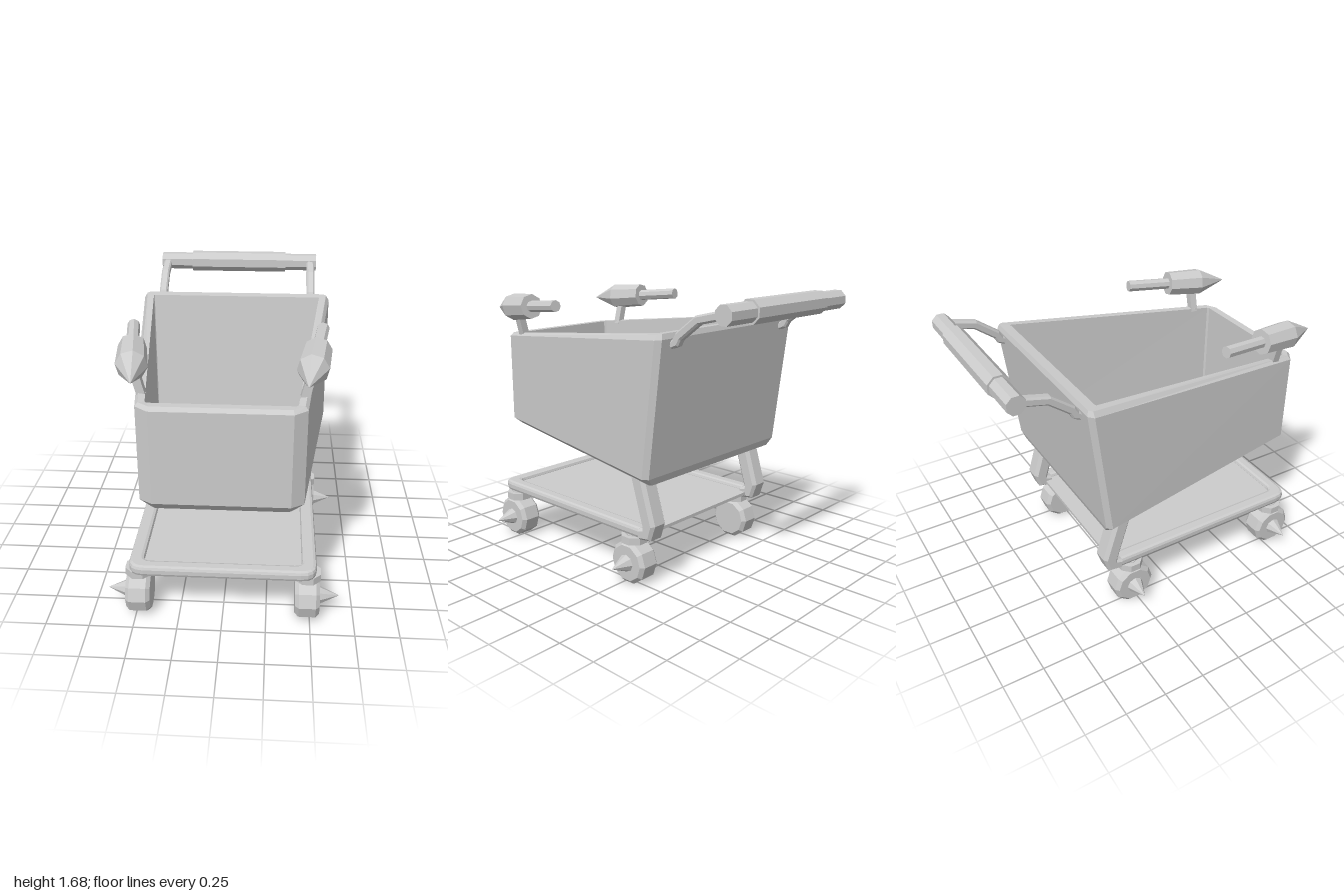
import * as THREE from 'three';

const mat = new THREE.MeshStandardMaterial({ color: 0xcccccc, flatShading: true });

function add(parent, name, geometry, x = 0, y = 0, z = 0) {
  const mesh = new THREE.Mesh(geometry, mat);
  mesh.name = name;
  mesh.position.set(x, y, z);
  parent.add(mesh);
  return mesh;
}

// Skin a list of equal-length rings (counter-clockwise seen along the loft) and cap both ends
function loft(rings) {
  const n = rings[0].length, index = [];
  rings.slice(1).forEach((_, r) => {
    for (let i = 0; i < n; i++) {
      const a = r * n + i, b = r * n + (i + 1) % n;
      index.push(a, b, b + n, a, b + n, a + n);
    }
  });
  const last = (rings.length - 1) * n;
  for (let i = 1; i < n - 1; i++) {
    index.push(0, i + 1, i, last, last + i, last + i + 1);
  }
  const g = new THREE.BufferGeometry();
  g.setAttribute('position', new THREE.Float32BufferAttribute(rings.flat(2), 3));
  g.setIndex(index);
  g.computeVertexNormals();
  return g;
}

// Bevelled bar swept along [y, z, thickness] points in a plane of constant x
function bar(x, width, path) {
  const rings = path.map(([y, z, thick], i) => {
    const p = path[Math.max(i - 1, 0)], q = path[Math.min(i + 1, path.length - 1)];
    const len = Math.hypot(q[0] - p[0], q[1] - p[1]);
    const ty = (q[0] - p[0]) / len, tz = (q[1] - p[1]) / len;
    const w = width / 2, h = thick / 2, c = Math.min(w, h) * 0.4;
    return [[w, h - c], [w - c, h], [c - w, h], [-w, h - c], [-w, c - h], [c - w, -h], [w - c, -h], [w, c - h]]
      .map(([u, v]) => [x + u, y + v * tz, z - v * ty]);
  });
  return loft(rings);
}

// Basket ring: a trapezoid in plan with cut corners, its height sloping from front to back
function basketRing(yF, yB, zF, zB, wF, wB, cx, cz, cb) {
  const y = z => yB + (yF - yB) * (z - zB) / (zF - zB);
  const w = z => wB + (wF - wB) * (z - zB) / (zF - zB);
  const right = [[wF - cx, zF], [w(zF - cz), zF - cz], [w(zB + cb), zB + cb], [wB - cb, zB]];
  const left = right.map(([x, z]) => [-x, z]).reverse();
  return [...right, ...left].map(([x, z]) => [x, y(z), z]);
}

function lathe(points, sides) {
  return new THREE.LatheGeometry(points.map(p => new THREE.Vector2(...p)), sides);
}

export function createModel() {
  const model = new THREE.Group();
  model.name = 'armedCart';

  // Open basket: outside from bottom to rim, then inside down to the floor
  add(model, 'basket', loft([
    basketRing(0.73, 0.645, 0.89, -0.47, 0.38, 0.55, 0.02, 0.02, 0.01),
    basketRing(0.78, 0.69, 0.93, -0.485, 0.435, 0.61, 0.065, 0.05, 0.03),
    basketRing(1.32, 1.465, 0.93, -0.58, 0.435, 0.61, 0.065, 0.05, 0.03),
    basketRing(1.34, 1.495, 0.91, -0.57, 0.42, 0.59, 0.055, 0.04, 0.02),
    basketRing(1.34, 1.49, 0.865, -0.51, 0.39, 0.54, 0.01, 0.01, 0.005),
    basketRing(0.81, 0.74, 0.86, -0.43, 0.385, 0.53, 0.01, 0.01, 0.005),
  ]));

  // Push handle
  const handle = new THREE.Group();
  handle.name = 'handle';
  model.add(handle);
  for (const [name, r, len] of [['handleBar', 0.056, 1.06], ['handleGrip', 0.068, 0.64]]) {
    const g = new THREE.CylinderGeometry(r, r, len, 8);
    g.rotateY(Math.PI / 8).rotateZ(Math.PI / 2);
    add(handle, name, g, 0, 1.615, -0.932);
  }

  // Lower frame: rounded U-shaped rail with a thin tray inside
  const s = new THREE.Shape();
  s.moveTo(-0.53, -0.39);
  s.lineTo(-0.445, -0.39);
  s.lineTo(-0.445, 0.8);
  s.quadraticCurveTo(-0.445, 0.84, -0.405, 0.84);
  s.lineTo(0.405, 0.84);
  s.quadraticCurveTo(0.445, 0.84, 0.445, 0.8);
  s.lineTo(0.445, -0.39);
  s.lineTo(0.53, -0.39);
  s.lineTo(0.53, 0.83);
  s.quadraticCurveTo(0.53, 0.92, 0.44, 0.92);
  s.lineTo(-0.44, 0.92);
  s.quadraticCurveTo(-0.53, 0.92, -0.53, 0.83);
  const rail = new THREE.ExtrudeGeometry(s, {
    depth: 0.025, bevelThickness: 0.02, bevelSize: 0.02, bevelOffset: -0.02, bevelSegments: 2, curveSegments: 4,
  });
  rail.rotateX(Math.PI / 2);
  add(model, 'lowerRail', rail, 0, 0.3375, 0);
  add(model, 'tray', new THREE.BoxGeometry(0.92, 0.02, 1.27), 0, 0.325, 0.235);

  for (const side of [1, -1]) {
    add(handle, 'handleArm', bar(side * 0.49, 0.052, [
      [1.43, -0.575, 0.04], [1.445, -0.605, 0.05], [1.48, -0.625, 0.05],
      [1.575, -0.75, 0.05], [1.615, -0.92, 0.05],
    ]));
    add(model, 'rearLeg', bar(side * 0.48, 0.12, [
      [0.72, -0.325, 0.1], [0.385, -0.428, 0.1], [0.335, -0.415, 0.09], [0.325, -0.36, 0.064],
    ]));

    // Casters with spiked wheels
    for (const z of [0.805, -0.275]) {
      const caster = new THREE.Group();
      caster.name = z > 0 ? 'frontCaster' : 'rearCaster';
      caster.position.set(side * 0.482, 0, z);
      model.add(caster);
      const mount = new THREE.CylinderGeometry(0.08, 0.08, 0.045, 8);
      add(caster, 'casterMount', mount.rotateY(Math.PI / 8), 0, 0.268, 0);
      add(caster, 'casterNeck', new THREE.CylinderGeometry(0.05, 0.05, 0.09, 8), 0, 0.25, 0);
      const wheel = lathe([[0, -0.07], [0.11, -0.07], [0.132, -0.048], [0.132, 0.048], [0.11, 0.07], [0, 0.07]], 10);
      add(caster, 'wheel', wheel.rotateZ(-Math.PI / 2), 0, 0.126, 0);
      const spike = new THREE.ConeGeometry(0.055, 0.12, 8).rotateZ(-side * Math.PI / 2);
      add(caster, 'wheelSpike', spike, side * 0.125, 0.126, 0);
    }

    // Pointed blaster on a short post clamped to the front rim
    const tail = new THREE.Vector3(side * 0.527, 1.565, 0.315);
    const tip = new THREE.Vector3(side * 0.43, 1.5, 1.0);
    const dir = tip.clone().sub(tail).normalize();
    const blaster = add(model, 'blaster', lathe([
      [0, 0], [0.035, 0], [0.035, 0.28], [0.076, 0.28], [0.084, 0.5], [0.05, 0.58], [0, 0.695],
    ], 8), ...tail);
    blaster.quaternion.setFromUnitVectors(new THREE.Vector3(0, 1, 0), dir);

    const foot = new THREE.Vector3(side * 0.42, 1.33, 0.757);
    const top = new THREE.Vector3(side * 0.46, 1.49, 0.757);
    const post = add(model, 'blasterPost', new THREE.BoxGeometry(0.045, foot.distanceTo(top), 0.045),
      ...foot.clone().add(top).multiplyScalar(0.5));
    post.quaternion.setFromUnitVectors(new THREE.Vector3(0, 1, 0), top.sub(foot).normalize());
  }

  return model;
}
